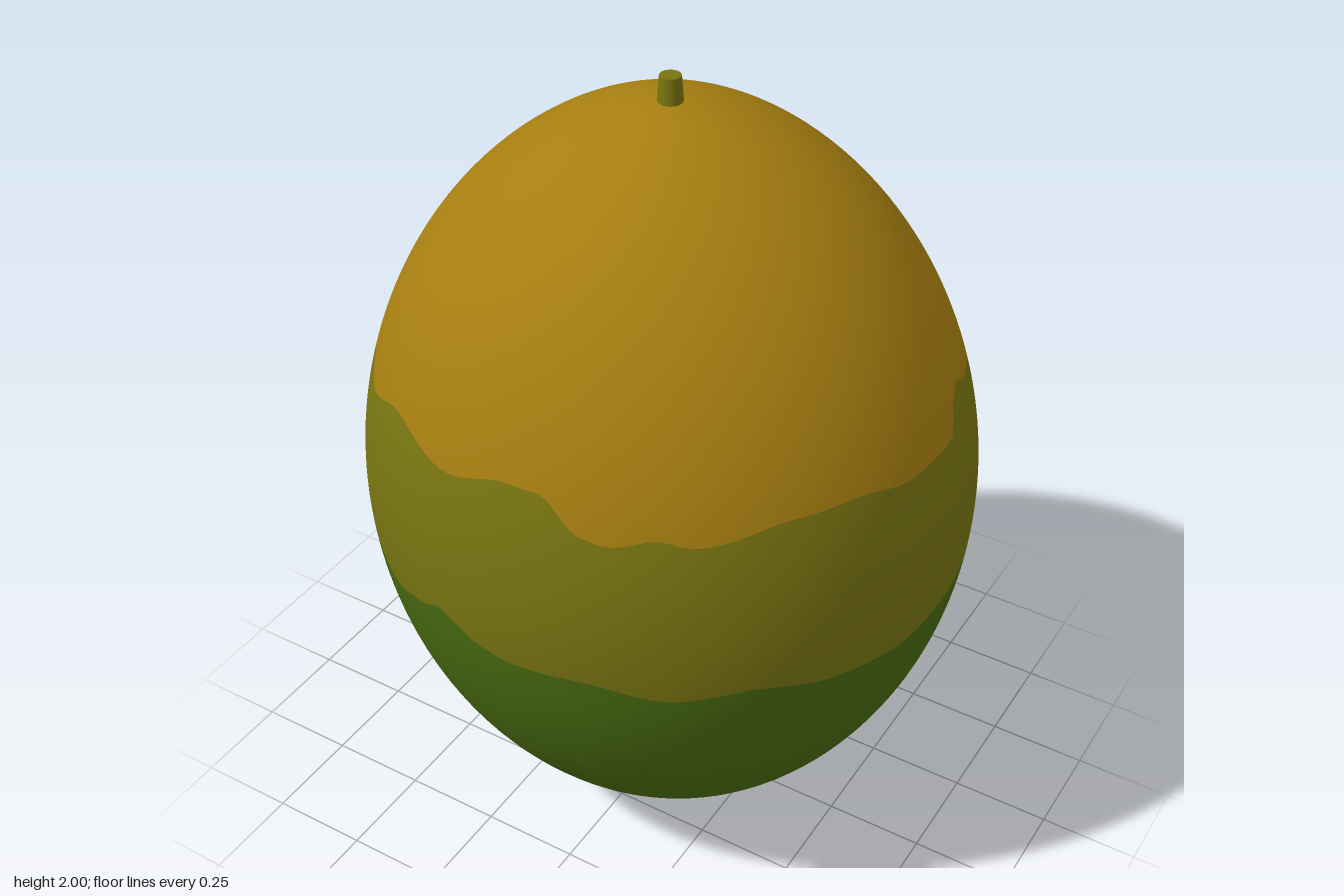
import * as THREE from 'three';

const HALF_H = 0.97, HALF_W = 0.755, HALF_D = 0.72, TAPER = 0.56;
const SEGMENTS = 180;

// Wavy colour borders: [degrees from the front towards +x, height]
const UPPER = [[0, 1.325], [6, 1.325], [15, 1.25], [19, 1.24], [28, 1.265], [34, 1.25], [53, 1.29],
  [65, 1.295], [78, 1.27], [94, 1.27], [98, 1.335], [102, 1.355], [108, 1.325], [124, 1.295],
  [134, 1.285], [142, 1.325], [155, 1.29], [175, 1.28], [190, 1.3], [200, 1.33], [206, 1.39],
  [211, 1.345], [218, 1.3], [223, 1.33], [227, 1.38], [235, 1.33], [245, 1.34], [257, 1.27],
  [266, 1.3], [280, 1.3], [290, 1.26], [304, 1.3], [313, 1.265], [328, 1.315], [345, 1.28]];
const LOWER = [[0, 0.85], [15, 0.86], [30, 0.83], [45, 0.855], [60, 0.83], [75, 0.825], [90, 0.845],
  [98, 0.86], [115, 0.84], [135, 0.865], [150, 0.85], [170, 0.86], [190, 0.84], [205, 0.865],
  [222, 0.85], [240, 0.85], [258, 0.87], [285, 0.84], [300, 0.85], [315, 0.87], [330, 0.84],
  [338, 0.87], [345, 0.905], [349, 0.89], [353, 0.865]];

// Height of a border at an angle, eased between its points
function borderAt(points, deg) {
  const d = deg % 360;
  const n = points.findLastIndex((p) => p[0] <= d);
  const a = points[n], b = points[n + 1] ?? [360, points[0][1]];
  return THREE.MathUtils.lerp(a[1], b[1], THREE.MathUtils.smoothstep(d, a[0], b[0]));
}

// A border height as an angle up from the bottom pole
const latitude = (y) => Math.acos(THREE.MathUtils.clamp(1 - y / HALF_H, -1, 1));

// One band of skin between two border functions of the angle
function skinBand(from, to, rows) {
  const positions = [], normals = [], indices = [];
  const normal = new THREE.Vector3();
  for (let i = 0; i <= rows; i++) {
    for (let j = 0; j <= SEGMENTS; j++) {
      const deg = (j / SEGMENTS) * 360, phi = THREE.MathUtils.degToRad(deg);
      const lat = THREE.MathUtils.lerp(latitude(from(deg)), latitude(to(deg)), i / rows);
      const u = -Math.cos(lat);
      const s = Math.max(1 - u * u, 0);
      const r = Math.pow(s, TAPER);
      const x = HALF_W * r * Math.sin(phi), z = HALF_D * r * Math.cos(phi);
      positions.push(x, HALF_H * (1 + u), z);
      if (s < 1e-6) normal.set(0, Math.sign(u), 0);
      else normal.set(x / HALF_W ** 2, 2 * TAPER * Math.pow(s, 2 * TAPER - 1) * u / HALF_H, z / HALF_D ** 2).normalize();
      normals.push(normal.x, normal.y, normal.z);
      if (i < rows && j < SEGMENTS) {
        const p = i * (SEGMENTS + 1) + j, q = p + SEGMENTS + 1;
        indices.push(p, p + 1, q + 1, p, q + 1, q);
      }
    }
  }
  const geometry = new THREE.BufferGeometry();
  geometry.setAttribute('position', new THREE.Float32BufferAttribute(positions, 3));
  geometry.setAttribute('normal', new THREE.Float32BufferAttribute(normals, 3));
  geometry.setIndex(indices);
  return geometry;
}

function material(name, color) {
  const m = new THREE.MeshStandardMaterial({ color });
  m.name = name;
  return m;
}

export function createModel() {
  const model = new THREE.Group();
  model.name = 'fruit';
  const yellow = material('ripe yellow', 0xa67e10);
  const olive = material('olive', 0x787411);
  const green = material('unripe green', 0x486a10);

  const add = (name, geometry, mat) => {
    const mesh = new THREE.Mesh(geometry, mat);
    mesh.name = name;
    model.add(mesh);
    return mesh;
  };

  // Skin, from the green base to the ripe top
  const lower = (deg) => borderAt(LOWER, deg);
  const upper = (deg) => borderAt(UPPER, deg);
  add('lowerSkin', skinBand(() => 0, lower, 32), green);
  add('middleSkin', skinBand(lower, upper, 14), olive);
  add('upperSkin', skinBand(upper, () => 2 * HALF_H, 32), yellow);

  // Short stem stub
  add('stem', new THREE.CylinderGeometry(0.025, 0.031, 0.08, 12), olive).position.y = 1.96;
  return model;
}
